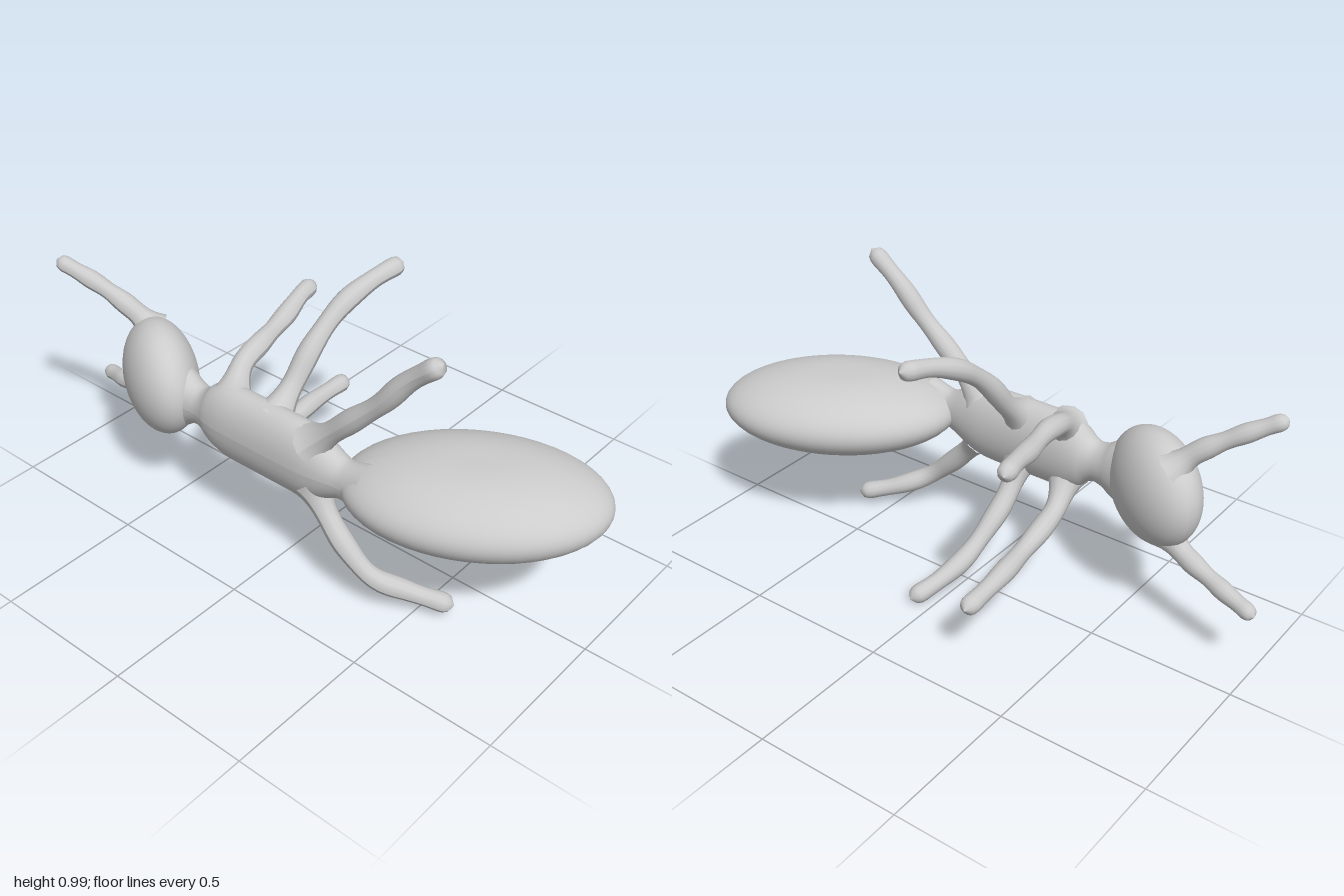
import * as THREE from 'three';

const material = new THREE.MeshStandardMaterial({ color: 0xcccccc });
const v3 = (p) => new THREE.Vector3(...p);

// Tapered limb: a tube whose radius flares at the root, swells at the joints and closes at the tip
function limb(name, points, radius, flare = 0.9) {
  const curve = new THREE.CatmullRomCurve3(points.map(v3), false, 'centripetal');
  const rows = 40, sides = 12;
  const geo = new THREE.TubeGeometry(curve, rows, 1, sides, false);
  const pos = geo.attributes.position;
  const p = new THREE.Vector3();
  const length = curve.getLength();
  for (let i = 0; i < pos.count; i++) {
    const t = Math.floor(i / (sides + 1)) / rows;
    const c = curve.getPointAt(t);
    const fromTip = Math.min(1, (1 - t) * length / (radius * 1.3));
    const cap = Math.sqrt(1 - (1 - fromTip) ** 2);
    const swell = 1 + 0.07 * Math.cos(t * Math.PI * 6);
    const r = radius * cap * swell * (1 - 0.12 * t + flare * Math.exp(-t * length / 0.05));
    p.fromBufferAttribute(pos, i).sub(c).multiplyScalar(r).add(c);
    pos.setXYZ(i, p.x, p.y, p.z);
  }
  geo.computeVertexNormals();
  const mesh = new THREE.Mesh(geo, material);
  mesh.name = name;
  return mesh;
}

function ellipsoid(name, size, position, turn, dimple = 0) {
  const geo = new THREE.SphereGeometry(1, 48, 32);
  const pos = geo.attributes.position;
  // Shallow ring on the broad upper and lower faces
  for (let i = 0; i < pos.count; i++) {
    const rho = Math.hypot(pos.getX(i), pos.getZ(i));
    pos.setY(i, pos.getY(i) * (1 - dimple * Math.exp(-((rho / 0.3) ** 2))));
  }
  geo.scale(...size);
  geo.computeVertexNormals();
  const mesh = new THREE.Mesh(geo, material);
  mesh.name = name;
  mesh.position.set(...position);
  mesh.rotation.y = turn;
  return mesh;
}

// Thorax with narrow neck and waist, turned around the x axis and flattened in z
function thorax() {
  const profile = [
    [-0.44, 0.13], [-0.39, 0.1], [-0.36, 0.08], [-0.325, 0.072], [-0.295, 0.085], [-0.26, 0.115],
    [-0.2, 0.136], [-0.1, 0.138], [0.04, 0.138], [0.13, 0.132], [0.19, 0.11],
    [0.24, 0.083], [0.275, 0.07], [0.31, 0.075], [0.36, 0.09],
  ].map(([x, r]) => new THREE.Vector2(r, x));
  const geo = new THREE.LatheGeometry(new THREE.SplineCurve(profile).getPoints(60), 32);
  geo.rotateZ(-Math.PI / 2);
  const pos = geo.attributes.position;
  for (let i = 0; i < pos.count; i++) {
    const r = Math.hypot(pos.getY(i), pos.getZ(i));
    pos.setZ(i, pos.getZ(i) / r * 0.077 * Math.sqrt(r / 0.137));
  }
  geo.computeVertexNormals();
  const mesh = new THREE.Mesh(geo, material);
  mesh.name = 'thorax';
  mesh.position.set(0, 0.462, 0.275);
  return mesh;
}

export function createModel() {
  const group = new THREE.Group();
  group.name = 'ant';
  group.add(
    ellipsoid('head', [0.212, 0.193, 0.122], [-0.555, 0.47, 0.247], -0.52),
    thorax(),
    ellipsoid('abdomen', [0.412, 0.137, 0.268], [0.612, 0.455, 0.073], 0.53, 0.05),
  );

  // Antennae
  group.add(
    limb('upperAntenna', [[-0.64, 0.59, 0.19], [-0.7, 0.655, 0.22], [-0.8, 0.725, 0.26], [-0.94, 0.805, 0.325]], 0.032),
    limb('lowerAntenna', [[-0.64, 0.35, 0.2], [-0.71, 0.305, 0.185], [-0.82, 0.275, 0.155], [-1, 0.235, 0.11]], 0.032),
  );

  // Six legs
  const legs = {
    frontUpperLeg: [[-0.2, 0.55, 0.27], [-0.235, 0.615, 0.18], [-0.25, 0.64, 0.08], [-0.285, 0.652, -0.07],
      [-0.315, 0.675, -0.19], [-0.335, 0.675, -0.275]],
    frontLowerLeg: [[-0.21, 0.37, 0.27], [-0.235, 0.3, 0.17], [-0.245, 0.275, 0.08], [-0.255, 0.255, -0.05],
      [-0.275, 0.252, -0.2], [-0.285, 0.242, -0.4]],
    middleUpperLeg: [[-0.03, 0.54, 0.26], [-0.03, 0.62, 0.17], [-0.02, 0.73, 0.08], [-0.005, 0.82, -0.03],
      [0.02, 0.87, -0.14], [0.05, 0.898, -0.275]],
    middleLowerLeg: [[-0.03, 0.38, 0.26], [-0.035, 0.27, 0.17], [-0.025, 0.19, 0.08], [-0.005, 0.11, -0.03],
      [0.025, 0.065, -0.13], [0.065, 0.03, -0.235]],
    rearUpperLeg: [[0.15, 0.54, 0.28], [0.22, 0.61, 0.28], [0.3, 0.69, 0.275], [0.4, 0.79, 0.265],
      [0.48, 0.89, 0.25], [0.59, 0.99, 0.24]],
    rearLowerLeg: [[0.15, 0.39, 0.28], [0.22, 0.305, 0.295], [0.3, 0.22, 0.298], [0.39, 0.14, 0.28],
      [0.48, 0.095, 0.22], [0.61, 0.055, 0.145]],
  };
  for (const [name, path] of Object.entries(legs)) group.add(limb(name, path, 0.036));
  return group;
}
